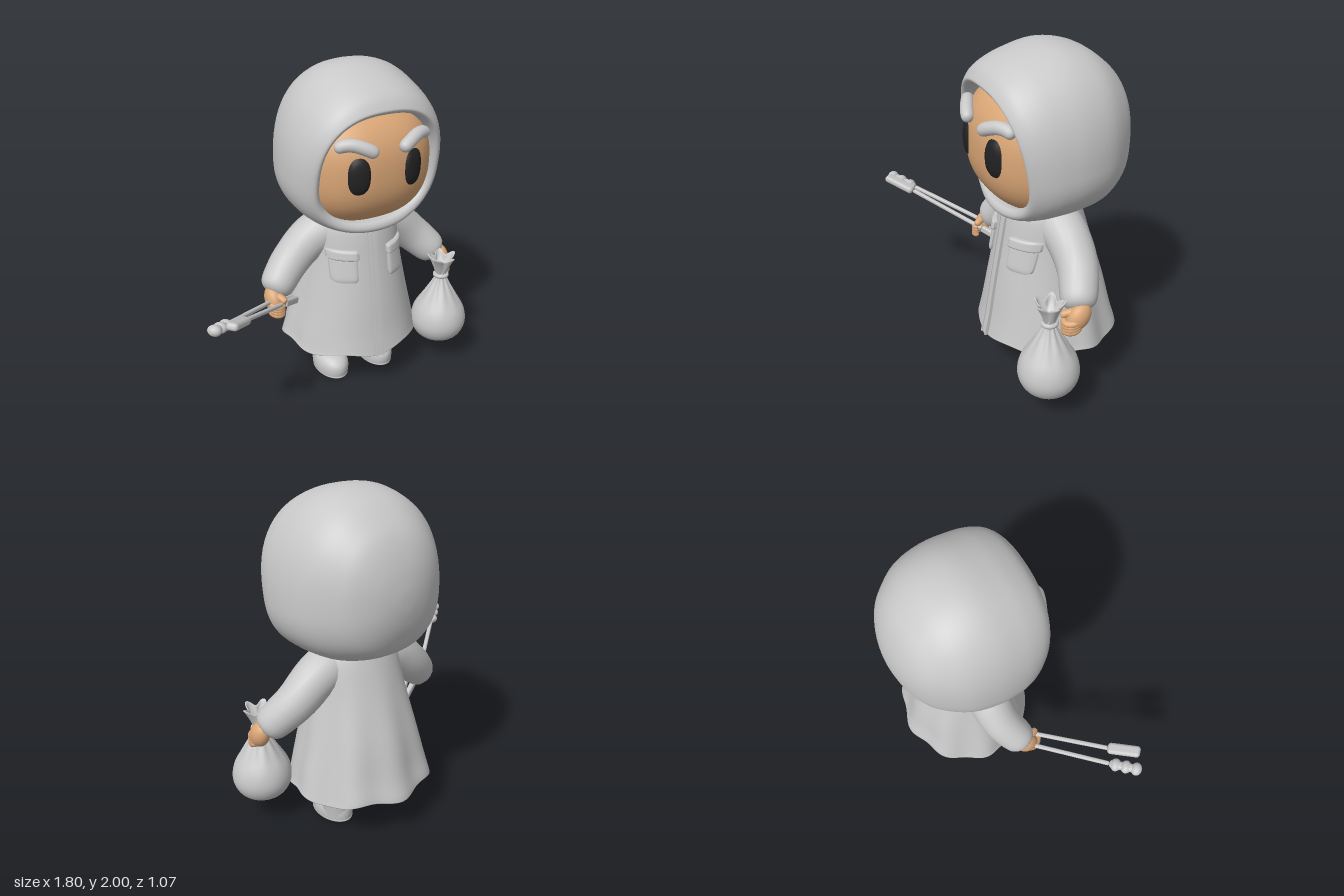
import * as THREE from 'three';
import { RoundedBoxGeometry } from 'three/addons/geometries/RoundedBoxGeometry.js';

const grey = new THREE.MeshStandardMaterial({ color: 0xc8c8c8 });
grey.name = 'grey cloth';
const skin = new THREE.MeshStandardMaterial({ color: 0xdaa676 });
skin.name = 'skin';
const black = new THREE.MeshStandardMaterial({ color: 0x222222 });
black.name = 'eye black';

const CX = 0.21; // the figure stands off centre, to make room for the tongs
const V = (x, y, z) => new THREE.Vector3(x, y, z);
const { lerp, clamp } = THREE.MathUtils;

// Catmull-Rom interpolation of rows of numbers
function smooth(rows, n) {
  const out = [];
  const at = (i) => rows[clamp(i, 0, rows.length - 1)];
  for (let i = 0; i < rows.length - 1; i++) {
    for (let k = 0; k < n; k++) {
      const t = k / n;
      out.push(rows[i].map((b, j) => {
        const a = at(i - 1)[j], c = at(i + 1)[j], d = at(i + 2)[j];
        return 0.5 * (2 * b + (c - a) * t + (2 * a - 5 * b + 4 * c - d) * t * t + (3 * b - a - 3 * c + d) * t * t * t);
      }));
    }
  }
  out.push(rows[rows.length - 1]);
  return out;
}

// Skin a closed surface over rows; point(row, angle) gives each vertex
function loft(rows, seg, point) {
  const pos = [], idx = [];
  rows.forEach((row, i) => {
    for (let j = 0; j < seg; j++) {
      pos.push(...point(row, (j / seg) * Math.PI * 2).toArray());
      if (i === rows.length - 1) continue;
      const a = i * seg + j, b = i * seg + (j + 1) % seg;
      idx.push(a, a + seg, b, b, a + seg, b + seg);
    }
  });
  const g = new THREE.BufferGeometry();
  g.setAttribute('position', new THREE.Float32BufferAttribute(pos, 3));
  g.setIndex(idx);
  g.computeVertexNormals();
  return g;
}

// Round-ended tube through points, tapering from r0 to r1
function limb(points, r0, r1 = r0, power = 8) {
  const curve = new THREE.CatmullRomCurve3(points), rows = [];
  for (let i = 0; i <= 28; i++) {
    const t = 0.5 - 0.5 * Math.cos((i / 28) * Math.PI);
    const T = curve.getTangentAt(t);
    const N = V(0, 1, 0.3).cross(T).normalize();
    const r = lerp(r0, r1, t) * Math.sqrt(Math.max(1e-5, 1 - Math.abs(2 * t - 1) ** power));
    rows.push({ p: curve.getPointAt(t), N, B: T.clone().cross(N), r });
  }
  return loft(rows, 20, (o, a) => o.p.clone()
    .addScaledVector(o.N, o.r * Math.cos(a)).addScaledVector(o.B, -o.r * Math.sin(a)));
}

const moveVerts = (g, fn) => {
  const p = g.attributes.position, v = V(0, 0, 0);
  for (let i = 0; i < p.count; i++) {
    fn(v.fromBufferAttribute(p, i));
    p.setXYZ(i, v.x, v.y, v.z);
  }
  g.computeVertexNormals();
  return g;
};

// Squarish face dome: depth at a point
const N = 2.5, FY = 1.455, FR = [0.42, 0.375, 0.43];
const faceZ = (x, y) => -0.1 + FR[2] * Math.max(0, 1 - Math.abs((x - CX) / FR[0]) ** N - Math.abs((y - FY) / FR[1]) ** N) ** (1 / N);

// Coat rows: y, half width, z centre, half depth, fold depth
const COAT = [
  [0.265, 0.428, -0.11, 0.405, 0.013], [0.3, 0.418, -0.11, 0.397, 0.013], [0.4, 0.395, -0.105, 0.372, 0.011],
  [0.6, 0.345, -0.097, 0.333, 0.007], [0.85, 0.29, -0.08, 0.272, 0.002], [1.05, 0.258, -0.065, 0.222, 0],
  [1.14, 0.2, -0.07, 0.18, 0],
];
function coatZ(x, y) {
  let i = 0;
  while (i < COAT.length - 2 && COAT[i + 1][0] < y) i++;
  const a = COAT[i], b = COAT[i + 1], t = clamp((y - a[0]) / (b[0] - a[0]), 0, 1);
  const [, w, zc, d] = a.map((v, k) => lerp(v, b[k], t));
  return zc + d * Math.sqrt(Math.max(0, 1 - ((x - CX) / w) ** 2));
}

export function createModel() {
  const model = new THREE.Group();
  const add = (name, geo, mat, parent = model) => {
    const m = new THREE.Mesh(geo, mat);
    m.name = name;
    parent.add(m);
    return m;
  };

  // Hood, from inside the lip round to the back: z, half width, y centre, top, bottom, lean, squareness
  const hood = smooth([
    [0.08, 0.34, 1.42, 1.78, 1.14, 1, 2.5], [0.17, 0.345, 1.42, 1.785, 1.135, 1, 2.5], [0.215, 0.353, 1.42, 1.79, 1.13, 1, 2.5],
    [0.235, 0.375, 1.41, 1.81, 1.1, 1, 2.45], [0.225, 0.4, 1.4, 1.832, 1.075, 1, 2.4], [0.18, 0.43, 1.4, 1.882, 1.06, 1, 2.35],
    [0.12, 0.452, 1.4, 1.925, 1.055, 0.85, 2.3], [0.04, 0.466, 1.4, 1.965, 1.055, 0.6, 2.25], [-0.1, 0.467, 1.41, 2, 1.06, 0.2, 2.25],
    [-0.26, 0.43, 1.43, 1.96, 1.08, 0, 2.35], [-0.39, 0.345, 1.45, 1.87, 1.13, 0, 2.4], [-0.46, 0.27, 1.47, 1.785, 1.19, 0, 2.4],
    [-0.51, 0.17, 1.48, 1.67, 1.3, 0, 2.3], [-0.534, 0.07, 1.485, 1.56, 1.41, 0, 2], [-0.538, 1e-4, 1.485, 1.4851, 1.4849, 0, 2],
  ], 4);
  add('hood', loft(hood, 72, ([z, w, yc, top, bot, lean, n], a) => {
    const c = Math.cos(a), s = Math.sin(a);
    const r = (Math.abs(c) ** n + Math.abs(s) ** n) ** (-1 / n);
    const y = yc + r * s * (s > 0 ? top - yc : yc - bot);
    return V(CX + r * c * w, y, z + lean * (0.17 * (y - 1.4) + 0.06 * Math.max(0, -s) ** 4 - 0.022 * c * c));
  }), grey);

  // Face, flattened behind
  add('face', moveVerts(new THREE.SphereGeometry(1, 64, 48), (v) => {
    v.multiplyScalar((Math.abs(v.x) ** N + Math.abs(v.y) ** N + Math.abs(v.z) ** N) ** (-1 / N));
    v.set(CX + v.x * FR[0], FY + v.y * FR[1], -0.1 + v.z * (v.z < 0 ? 0.1 : FR[2]));
  }), skin);

  for (const s of [-1, 1]) {
    const side = s > 0 ? 'left' : 'right';

    // Eyes, slightly squared, and heavy brows
    add(side + 'Eye', moveVerts(new THREE.RingGeometry(0.001, 1, 40, 6), (v) => {
      const r = Math.min(1, Math.hypot(v.x, v.y));
      const k = r / (Math.abs(v.x) ** 2.4 + Math.abs(v.y) ** 2.4) ** (1 / 2.4);
      const x = CX + s * 0.168 + v.x * k * 0.061, y = 1.47 + v.y * k * 0.106;
      v.set(x, y, faceZ(x, y) + 0.018 * Math.sqrt(1 - r * r));
    }), black);
    const brow = [[0.285, 1.622], [0.25, 1.645], [0.2, 1.65], [0.135, 1.629], [0.073, 1.595]]
      .map(([x, y]) => V(CX + s * x, y, faceZ(CX + s * x, y) + 0.024));
    add(side + 'Brow', limb(brow, 0.036, 0.038), grey);

    // Trouser leg and shoe
    const oval = ([y, w, z, d], a) => V(CX + s * 0.16 + w * Math.cos(a), y, z + d * Math.sin(a));
    add(side + 'Shoe', loft(smooth([
      [0, 0.0001, -0.05, 0.0001], [0, 0.09, -0.05, 0.142], [0.008, 0.099, -0.05, 0.15], [0.04, 0.103, -0.049, 0.154],
      [0.075, 0.1, -0.05, 0.15], [0.105, 0.088, -0.058, 0.132], [0.128, 0.062, -0.08, 0.1], [0.135, 0.01, -0.1, 0.01],
    ], 3), 40, oval), grey);
    add(side + 'Leg', loft(smooth([
      [0.03, 0.09, -0.105, 0.092], [0.12, 0.104, -0.105, 0.098], [0.2, 0.128, -0.107, 0.108],
      [0.28, 0.138, -0.107, 0.115], [0.45, 0.13, -0.105, 0.115],
    ], 4), 40, oval), grey);

    // Sleeve
    add(side + 'Sleeve', limb([
      V(CX + s * 0.1, 1.025, -0.07), V(CX + s * 0.26, 0.965, -0.085), V(CX + s * 0.41, 0.84, -0.075), V(CX + s * 0.57, 0.685, 0.005),
    ], 0.14, 0.1, 12), grey);

    // Mitten-like hand with curled fingers
    const hand = new THREE.Group();
    hand.name = side + 'Hand';
    hand.position.set(CX + s * (s > 0 ? 0.59 : 0.57), 0.66, s > 0 ? 0.015 : 0.02);
    model.add(hand);
    const palm = add('palm', new THREE.SphereGeometry(1, 28, 20), skin, hand);
    palm.scale.set(0.052, 0.085, 0.064);
    palm.rotation.x = -0.6;
    for (let i = 0; i < 4; i++) {
      const d = i * 0.017;
      add('finger', limb([
        V(s * 0.024, 0.005 - d, 0), V(s * 0.026, -0.018 - d, 0.045), V(0, -0.022 - d, 0.078), V(s * -0.04, -0.012 - d, 0.074),
      ], 0.022, 0.018), skin, hand);
    }
    add('thumb', limb([V(s * -0.012, 0.03, 0.02), V(s * -0.03, 0.022, 0.06), V(s * -0.042, 0.008, 0.088)], 0.024, 0.02), skin, hand);

    // Chest pocket and flap, round-cornered and draped on the coat
    const drape = (w, h, d, y) => moveVerts(new THREE.BoxGeometry(w, h, d, 14, 12, 2), (v) => {
      const px = v.x / w * 2, py = v.y / h * 2;
      const edge = Math.max(Math.abs(px), Math.abs(py)) ** 8;
      v.x = CX + s * 0.17 + v.x * (1 - 0.1 * py ** 6);
      v.y = y + v.y * (1 - 0.1 * px ** 6);
      v.z = coatZ(v.x, v.y) + v.z * (1 - 0.4 * edge);
    });
    add(side + 'Pocket', drape(0.138, 0.165, 0.044, 0.822), grey);
    add(side + 'PocketFlap', drape(0.155, 0.062, 0.066, 0.908), grey);
  }

  // Coat: closed lining, then hem up to the neck
  const coat = [[0.4, 0.0001, -0.1, 0.0001, 0], [0.36, 0.3, -0.1, 0.28, 0.01], [0.27, 0.415, -0.11, 0.39, 0.013],
    ...smooth(COAT, 6), [1.15, 0.0001, -0.07, 0.0001, 0]];
  add('coat', loft(coat, 120, ([y, w, zc, d, fold], a) => {
    const c = Math.cos(a), s = Math.sin(a);
    const f = fold * Math.cos(9 * a + Math.PI / 2) * (1 - Math.max(0, s)) ** 2;
    return V(CX + c * (w + f), y + fold * Math.cos(6 * a), zc + s * (d + f));
  }), grey);

  // Front placket: a wide band with a raised edge each side
  const strip = (name, x, w, d) => add(name, moveVerts(new THREE.BoxGeometry(w, 0.81, d, 1, 16, 1), (v) => {
    v.x += x;
    v.y += 0.66;
    v.z += coatZ(v.x, v.y);
  }), grey);
  strip('placket', CX, 0.06, 0.024);
  strip('placketEdge', CX - 0.024, 0.012, 0.034);
  strip('placketEdge', CX + 0.024, 0.012, 0.034);

  // Sack with pleated neck and star-shaped mouth: radius, y, star depth
  const sack = smooth([
    [0.0001, 0.16, 0], [0.075, 0.168, 0], [0.14, 0.208, 0], [0.173, 0.285, 0], [0.16, 0.375, 0], [0.11, 0.465, 0.02],
    [0.06, 0.55, 0.06], [0.036, 0.6, 0.08], [0.034, 0.625, 0.08], [0.048, 0.67, 0.14], [0.064, 0.71, 0.2],
    [0.076, 0.737, 0.22], [0.066, 0.737, 0.22], [0.045, 0.69, 0.15], [0.0001, 0.65, 0],
  ], 4);
  const sackMesh = add('sack', loft(sack, 80, ([r, y, k], a) => {
    const star = Math.cos((y > 0.64 ? 5 : 10) * a);
    const q = r * (1 + k * star);
    return V(q * Math.cos(a), y + (y > 0.64 ? 0.06 * k * star : 0), q * Math.sin(a));
  }), grey);
  sackMesh.position.set(0.725, 0, 0.15);
  const tie = add('sackTie', new THREE.TorusGeometry(0.036, 0.014, 12, 32), grey);
  tie.position.set(0.725, 0.615, 0.15);
  tie.rotation.x = Math.PI / 2;

  // Tongs
  const tongs = new THREE.Group();
  tongs.name = 'tongs';
  model.add(tongs);
  const bar = (name, p, q, w, h, r) => {
    const m = add(name, new RoundedBoxGeometry(w, h, p.distanceTo(q), 4, r), grey, tongs);
    m.position.copy(p).lerp(q, 0.5);
    m.lookAt(q);
  };
  const arms = [
    { rear: V(-0.21, 0.585, -0.05), grip: V(-0.4, 0.66, 0.05), neck: V(-0.75, 0.795, 0.345), tip: V(-0.89, 0.855, 0.47) },
    { rear: V(-0.19, 0.58, -0.03), grip: V(-0.31, 0.64, 0.07), neck: V(-0.67, 0.815, 0.385), tip: V(-0.8, 0.885, 0.515) },
  ];
  arms.forEach(({ rear, grip, neck, tip }, i) => {
    bar('tongHandle', rear, grip, 0.032, 0.044, 0.012);
    bar('tongArm', grip, neck, 0.026, 0.024, 0.01);
    bar('tongHead', neck, tip, i ? 0.068 : 0.05, 0.044, 0.02);
    // scalloped edge of the gripping head
    for (let k = 0; k < 3 && i === 0; k++) {
      const lobe = add('tongScallop', new THREE.SphereGeometry(1, 18, 12), grey, tongs);
      lobe.position.copy(neck).lerp(tip, 0.2 + k * 0.32);
      lobe.lookAt(tip.clone().multiplyScalar(2).sub(neck));
      lobe.scale.set(0.04, 0.031, 0.032);
    }
  });

  return model;
}
